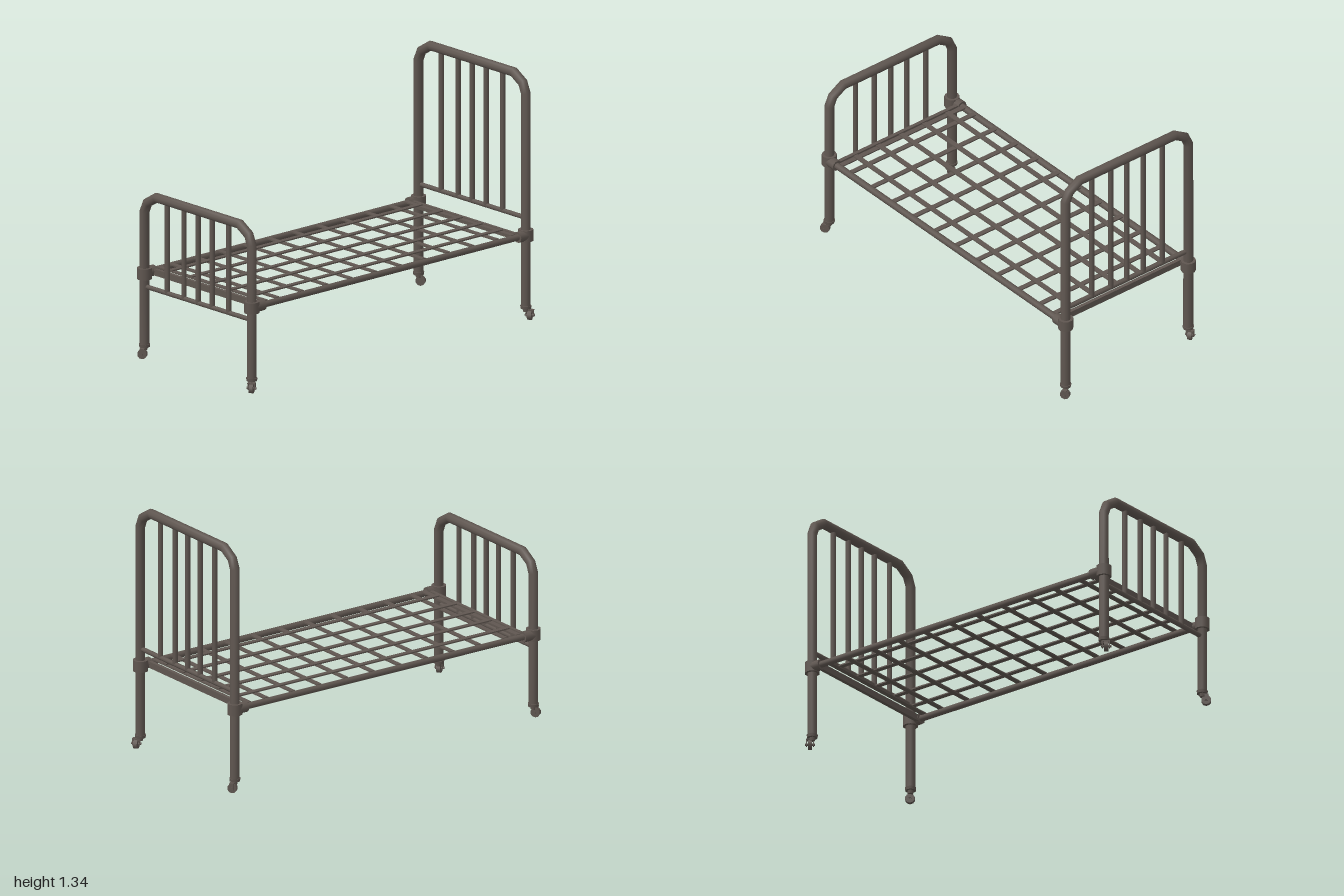
import * as THREE from 'three';

const iron = new THREE.MeshStandardMaterial({ color: 0x5f5650 });
iron.name = 'agedIron';
const V = (x, y, z) => new THREE.Vector3(x, y, z);

function add(parent, name, geometry, position) {
  const mesh = new THREE.Mesh(geometry, iron);
  mesh.name = name;
  if (position) mesh.position.copy(position);
  parent.add(mesh);
  return mesh;
}

// Round bar between two points
function bar(parent, name, a, b, radius, sides = 8) {
  const mesh = add(parent, name, new THREE.CylinderGeometry(radius, radius, a.distanceTo(b), sides),
    a.clone().lerp(b, 0.5));
  mesh.quaternion.setFromUnitVectors(V(0, 1, 0), b.clone().sub(a).normalize());
  return mesh;
}

// Bent pipe path with one ring per point, mitred at the bends
class PipePath extends THREE.Curve {
  constructor(points) {
    super();
    this.points = points;
  }
  index(u) {
    return Math.round(u * (this.points.length - 1));
  }
  getPointAt(u) {
    return this.points[this.index(u)].clone();
  }
  getTangentAt(u) {
    const p = this.points, i = this.index(u), t = V(0, 0, 0);
    if (i > 0) t.add(p[i].clone().sub(p[i - 1]).normalize());
    if (i < p.length - 1) t.add(p[i + 1].clone().sub(p[i]).normalize());
    return t.normalize();
  }
}

// Swivelling caster under a leg
function caster(parent, x, z, dx, dz, turn) {
  const group = new THREE.Group();
  group.name = 'caster';
  group.position.set(x, 0, z);
  add(group, 'casterCollar', new THREE.CylinderGeometry(0.03, 0.028, 0.016, 10), V(0, 0.07, 0));
  add(group, 'casterStem', new THREE.CylinderGeometry(0.016, 0.014, 0.02, 8), V(0, 0.055, 0));
  const swivel = new THREE.Group();
  swivel.name = 'casterSwivel';
  swivel.position.set(dx, 0, dz);
  swivel.rotation.y = turn;
  add(swivel, 'casterWheel', new THREE.CylinderGeometry(0.026, 0.026, 0.022, 10), V(0, 0.026, 0)).rotation.x = Math.PI / 2;
  add(swivel, 'casterAxle', new THREE.CylinderGeometry(0.007, 0.007, 0.052, 6), V(0, 0.028, 0)).rotation.x = Math.PI / 2;
  for (const s of [-1, 1]) add(swivel, 'casterFork', new THREE.BoxGeometry(0.018, 0.036, 0.005), V(0, 0.038, s * 0.018));
  add(swivel, 'casterForkTop', new THREE.BoxGeometry(0.024, 0.006, 0.041), V(0, 0.054, 0));
  group.add(swivel);
  parent.add(group);
}

// Bent pipe end with spindles, lower rail, corner sockets and casters
function bedEnd(name, x, top, lowRail) {
  const group = new THREE.Group();
  group.name = name;
  const side = Math.sign(x), postZ = 0.41;
  const half = [[postZ, 0.065], [postZ, top - 0.095], [0.387, top - 0.042], [0.318, top]];
  const points = [
    ...half.map(([z, y]) => V(x, y, z)),
    ...half.slice().reverse().map(([z, y]) => V(x, y, -z)),
  ];
  add(group, 'bentPipe', new THREE.TubeGeometry(new PipePath(points), points.length - 1, 0.026, 10));
  bar(group, 'lowerRail', V(x, lowRail, -postZ), V(x, lowRail, postZ), 0.013);
  for (const z of [-0.235, -0.108, 0, 0.108, 0.235]) {
    bar(group, 'spindle', V(x, lowRail, z), V(x, top, z), 0.014);
  }
  for (const s of [-1, 1]) {
    const z = s * postZ;
    add(group, 'cornerCollar', new THREE.CylinderGeometry(0.04, 0.04, 0.06, 10), V(x, 0.458, z));
    bar(group, 'railSocket', V(x, 0.458, s * 0.418), V(side * 0.887, 0.458, s * 0.418), 0.029, 10);
    caster(group, x, z, side * 0.015, s > 0 ? 0.015 : 0, s > 0 ? 0.6 : -0.9);
  }
  return group;
}

// Side rails, end rails and woven flat slats
function bedBase() {
  const group = new THREE.Group();
  group.name = 'bedBase';
  for (const s of [-1, 1]) {
    bar(group, 'sideRail', V(-0.9, 0.458, s * 0.418), V(0.9, 0.458, s * 0.418), 0.018);
    add(group, 'endRail', new THREE.BoxGeometry(0.02, 0.034, 0.82), V(s * 0.9, 0.456, 0));
  }
  const crossX = [-0.862, 0.862];
  for (let i = 0; i < 10; i++) crossX.push(-0.78 + i * 0.17);
  for (const x of crossX) {
    add(group, 'crossSlat', new THREE.BoxGeometry(0.028, 0.007, 0.82), V(x, 0.472, 0));
  }
  for (const z of [-0.305, -0.153, 0, 0.153, 0.305]) {
    add(group, 'longSlat', new THREE.BoxGeometry(1.75, 0.007, 0.028), V(0, 0.478, z));
  }
  return group;
}

export function createModel() {
  const model = new THREE.Group();
  model.name = 'ironBed';
  model.add(bedEnd('headboard', 0.952, 1.314, 0.55));
  model.add(bedEnd('footboard', -0.96, 0.884, 0.388));
  model.add(bedBase());
  return model;
}
